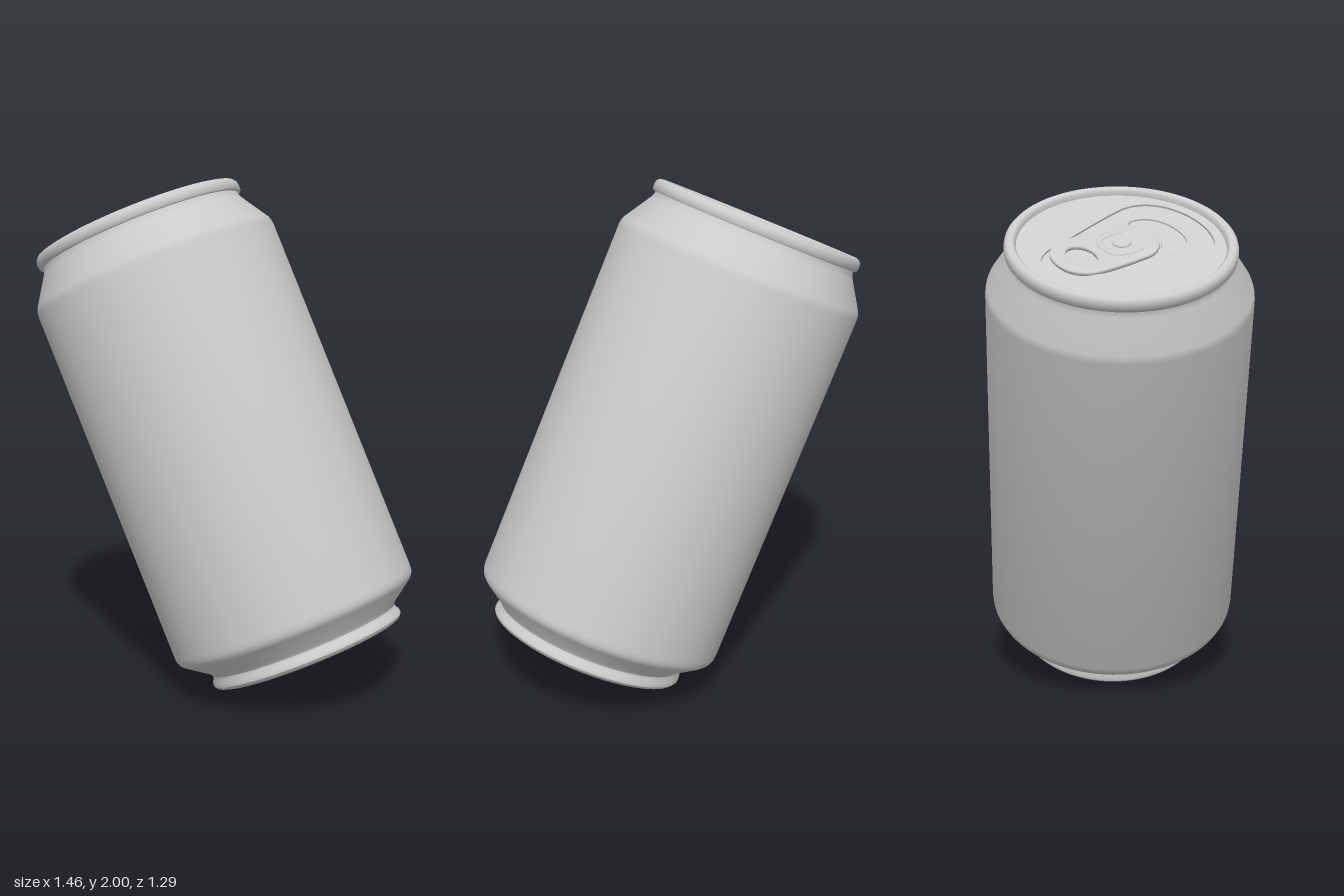
import * as THREE from 'three';
import { toCreasedNormals } from 'three/addons/utils/BufferGeometryUtils.js';

const material = new THREE.MeshStandardMaterial({ color: 0xcccccc, side: THREE.DoubleSide });
const LID = 0.914; // height of the lid plate along the can's axis

function add(parent, name, geometry, y = 0) {
  const mesh = new THREE.Mesh(geometry, material);
  mesh.name = name;
  mesh.position.y = y;
  parent.add(mesh);
  return mesh;
}

// Lays a shape flat (shape y becomes z), top face at y = 0, thickness going down
function plate(shape, depth, bevel = 0) {
  const geometry = new THREE.ExtrudeGeometry(shape, {
    depth: depth - 2 * bevel, curveSegments: 32, bevelEnabled: bevel > 0,
    bevelSize: bevel, bevelThickness: bevel, bevelOffset: -bevel, bevelSegments: 3,
  });
  geometry.translate(0, 0, bevel).rotateX(Math.PI / 2);
  return toCreasedNormals(geometry, 0.6);
}

// Closed smooth outline, mirrored from the points of its right half
function mirroredOutline(half) {
  const right = half.map(([x, y]) => new THREE.Vector2(x, y));
  const left = half.filter(([x]) => x > 0).reverse().map(([x, y]) => new THREE.Vector2(-x, y));
  const points = [...right, ...left].map((p) => new THREE.Vector3(p.x, p.y, 0));
  const curve = new THREE.CatmullRomCurve3(points, true, 'centripetal');
  return curve.getPoints(96).slice(0, -1).map((p) => new THREE.Vector2(p.x, p.y));
}

export function createModel() {
  const model = new THREE.Group();
  model.name = 'drinkCan';

  // Everything is built upright around y, then leaned over
  const can = new THREE.Group();
  can.name = 'leaningCan';
  const axis = new THREE.Vector3(-0.3585, 0.9075, -0.218).normalize();
  can.quaternion.setFromUnitVectors(new THREE.Vector3(0, 1, 0), axis);
  can.position.y = 0.975;
  model.add(can);

  // Foot, wall, shoulders and neck
  const wall = [
    [0, -0.898], [0.374, -0.898], [0.387, -0.893], [0.395, -0.882], [0.394, -0.868],
    [0.385, -0.855], [0.383, -0.843], [0.393, -0.829], [0.478, -0.768], [0.489, -0.757],
    [0.496, -0.742], [0.498, -0.722], [0.498, 0.72], [0.496, 0.735], [0.491, 0.75],
    [0.42, 0.862], [0.414, 0.876], [0.412, 0.895],
  ];
  // Rolled rim with its inner wall
  const rim = [
    [0.411, 0.887], [0.422, 0.888], [0.427, 0.895], [0.428, 0.912], [0.425, 0.926],
    [0.416, 0.936], [0.405, 0.939], [0.393, 0.936], [0.385, 0.927], [0.382, 0.905],
  ];
  const lathe = (points) => toCreasedNormals(
    new THREE.LatheGeometry(points.map(([r, y]) => new THREE.Vector2(r, y)), 96), 0.6);
  add(can, 'body', lathe(wall));
  add(can, 'rim', lathe(rim));

  // Outlines on the lid
  const panelOutline = mirroredOutline([
    [0, -0.325], [0.06, -0.308], [0.105, -0.255], [0.135, -0.16], [0.215, 0.1],
    [0.23, 0.18], [0.215, 0.245], [0.165, 0.3], [0.09, 0.333], [0, 0.345],
  ]);
  const mouthOutline = mirroredOutline([
    [0, 0.165], [0.05, 0.145], [0.09, 0.115], [0.125, 0.115], [0.142, 0.15],
    [0.12, 0.205], [0.07, 0.237], [0, 0.248],
  ]);
  const tabOutline = mirroredOutline([
    [0, -0.28], [0.07, -0.265], [0.115, -0.22], [0.13, -0.15], [0.128, 0],
    [0.118, 0.065], [0.075, 0.118], [0, 0.137],
  ]);

  // Lid in three steps: plate, sunken panel, mouth
  const lid = new THREE.Shape().absarc(0, 0, 0.386, 0, Math.PI * 2);
  lid.holes.push(new THREE.Path(panelOutline));
  add(can, 'lidPlate', plate(lid, 0.012), LID);
  const panel = new THREE.Shape(panelOutline);
  panel.holes.push(new THREE.Path(mouthOutline));
  add(can, 'sunkenPanel', plate(panel, 0.012, 0.003), LID - 0.006);
  add(can, 'mouth', plate(new THREE.Shape(mouthOutline), 0.006), LID - 0.013);

  // Pull tab with finger hole, arched ridge and rivet
  const tab = new THREE.Group();
  tab.name = 'pullTab';
  tab.position.y = LID + 0.01;
  can.add(tab);
  const tabShape = new THREE.Shape(tabOutline);
  tabShape.holes.push(new THREE.Path().absellipse(0, -0.173, 0.072, 0.05, 0, Math.PI * 2, true));
  add(tab, 'tabPlate', plate(tabShape, 0.016, 0.005));

  const arch = new THREE.CatmullRomCurve3([
    [-0.072, 0.036], [-0.072, -0.02], [-0.055, -0.062], [0, -0.078],
    [0.055, -0.062], [0.072, -0.02], [0.072, 0.036],
  ].map(([x, z]) => new THREE.Vector3(x, 0, z)));
  add(tab, 'tabRidge', new THREE.TubeGeometry(arch, 40, 0.012, 10)).scale.y = 0.4;
  for (const side of [-1, 1]) {
    const end = add(tab, 'ridgeEnd', new THREE.SphereGeometry(0.012, 12, 8));
    end.position.set(side * 0.072, 0, 0.036);
    end.scale.y = 0.4;
  }
  const rivet = [[0.036, -0.005], [0.036, 0.003], [0.032, 0.007], [0.024, 0.008], [0, 0.008]];
  add(tab, 'rivet', lathe(rivet));

  return model;
}
